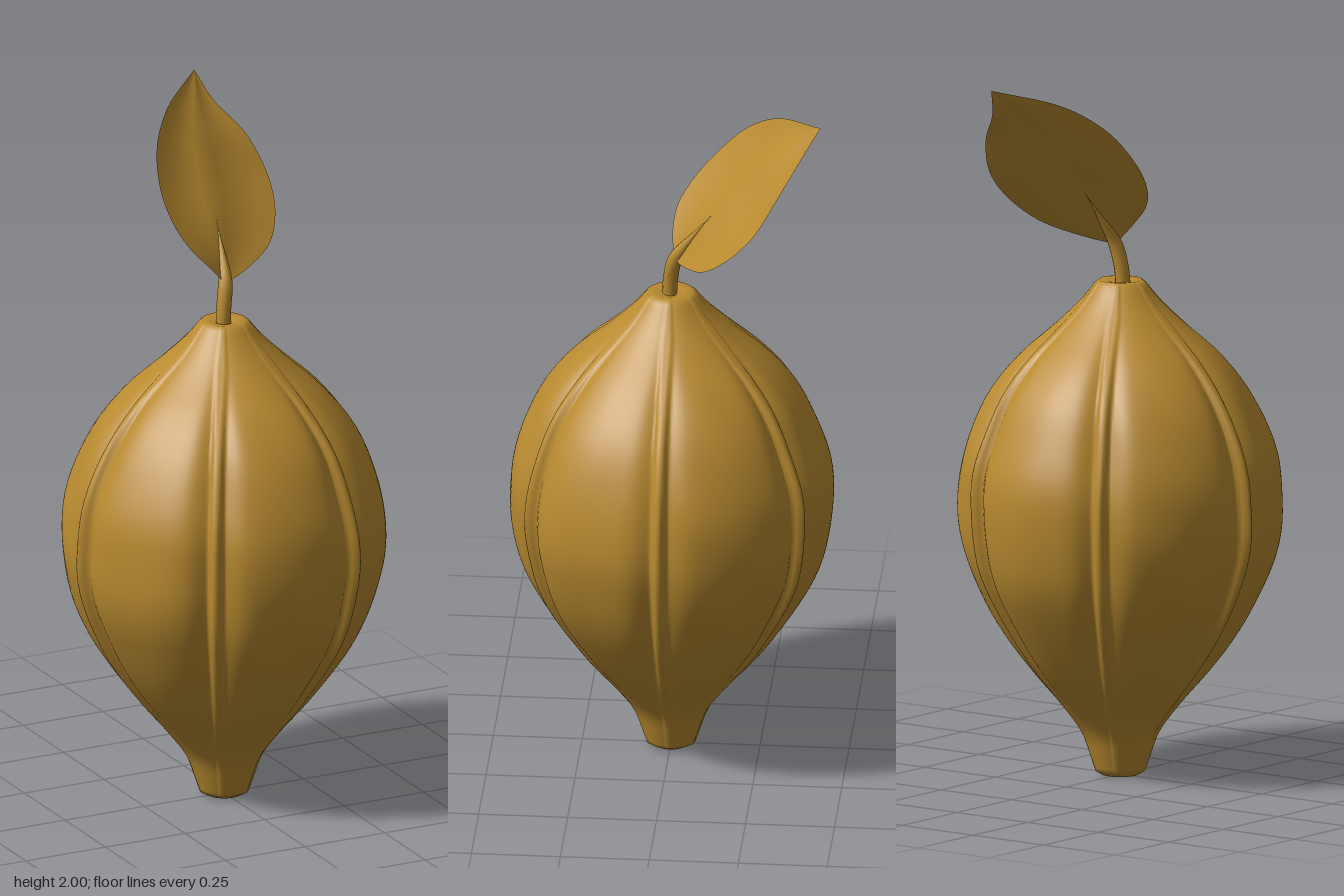
import * as THREE from 'three';
import { mergeVertices } from 'three/addons/utils/BufferGeometryUtils.js';

const V = (x, y, z) => new THREE.Vector3(x, y, z);

// weld seams so that the normals run smoothly over them
function smooth(geo) {
  geo.deleteAttribute('uv');
  geo.deleteAttribute('normal');
  const g = mergeVertices(geo, 1e-5);
  g.computeVertexNormals();
  return g;
}

// radius and height of the pod from bottom tip to top rim
const profile = new THREE.CatmullRomCurve3([
  [0.07, 0.018], [0.084, 0.06], [0.11, 0.13], [0.168, 0.21], [0.245, 0.3], [0.318, 0.4],
  [0.378, 0.5], [0.422, 0.6], [0.446, 0.7], [0.452, 0.79], [0.443, 0.89], [0.412, 0.99],
  [0.358, 1.1], [0.278, 1.2], [0.178, 1.29], [0.112, 1.355], [0.072, 1.405],
].map(([r, y]) => V(r, y, 0)));

// pod radius factor at angle a: plump lobes, creases, and a raised rib in each crease
function relief(a, y, r) {
  const step = Math.PI / 3;
  const d = Math.PI / 6 - Math.abs(a - Math.round(a / step) * step);
  const full = THREE.MathUtils.smoothstep(r, 0.06, 0.3);
  const sideRib = Math.abs(Math.sin(a)) > 0.85;
  const crease = (sideRib ? 0.06 : 0.075) * full * Math.exp(-((d / 0.13) ** 2));
  const width = Math.min(0.12, 0.017 / r);
  const rib = (0.03 + 0.04 * full) * Math.exp(-((d / width) ** 4));
  const bumps = 0.009 * full * Math.sin(5 * a + 9 * y) * Math.sin(13 * y + 2 * Math.sin(3 * a));
  return 1.005 - crease + rib + bumps;
}

export function createModel() {
  const ochre = new THREE.MeshStandardMaterial({ color: 0xb88a30 });
  ochre.name = 'ochre';
  ochre.side = THREE.DoubleSide;
  const model = new THREE.Group();
  model.name = 'pod';
  const add = (name, geo) => {
    const mesh = new THREE.Mesh(geo, ochre);
    mesh.name = name;
    model.add(mesh);
  };

  // ribbed pod body: a lathe shaped by the relief
  const outline = [
    new THREE.Vector2(0, 0.005), new THREE.Vector2(0.05, 0.006),
    ...profile.getPoints(56).map((p) => new THREE.Vector2(p.x, p.y)),
    new THREE.Vector2(0.06, 1.415), new THREE.Vector2(0.035, 1.412), new THREE.Vector2(0, 1.4),
  ];
  const body = new THREE.LatheGeometry(outline, 360);
  const pos = body.attributes.position;
  for (let i = 0; i < pos.count; i++) {
    const x = pos.getX(i), y = pos.getY(i), z = pos.getZ(i);
    const r = Math.hypot(x, z);
    if (r < 1e-6) continue;
    const k = relief(Math.atan2(x, z), y, r);
    pos.setXYZ(i, x * k, y, z * k);
  }
  add('ribbedBody', smooth(body));

  // stem, tapering into the leaf
  const stemPath = new THREE.CatmullRomCurve3([
    V(-0.005, 1.4, 0.005), V(-0.002, 1.45, 0.002), V(0.01, 1.52, -0.012),
    V(0.02, 1.58, -0.05), V(0.035, 1.67, -0.115),
  ]);
  const stem = new THREE.TubeGeometry(stemPath, 24, 0.021, 12);
  const sp = stem.attributes.position;
  for (let i = 0; i < sp.count; i++) {
    const t = Math.floor(i / 13) / 24;
    const c = stemPath.getPointAt(t);
    const thin = 1 - 0.95 * THREE.MathUtils.smoothstep(t, 0.3, 1);
    const p = V().fromBufferAttribute(sp, i).sub(c).multiplyScalar(thin).add(c);
    sp.setXYZ(i, p.x, p.y, p.z);
  }
  add('stem', smooth(stem));

  // leaf blade, spanned from its left and right edges through the midrib
  const middle = new THREE.CatmullRomCurve3([
    V(0.01, 1.52, -0.012), V(0.02, 1.58, -0.05), V(0.035, 1.67, -0.115),
    V(0.05, 1.77, -0.2), V(0.075, 1.88, -0.3), V(0.125, 2.0, -0.43),
  ]);
  const rightEdge = new THREE.CatmullRomCurve3([
    V(0.01, 1.515, -0.01), V(0.1, 1.535, -0.05), V(0.2, 1.575, -0.11), V(0.255, 1.645, -0.185),
    V(0.265, 1.725, -0.255), V(0.23, 1.83, -0.32), V(0.16, 1.92, -0.38), V(0.125, 2.0, -0.43),
  ]);
  const leftEdge = new THREE.CatmullRomCurve3([
    V(0.01, 1.515, -0.01), V(-0.045, 1.575, 0), V(-0.1, 1.635, -0.01), V(-0.132, 1.7, -0.05),
    V(-0.14, 1.78, -0.115), V(-0.11, 1.875, -0.2), V(-0.03, 1.95, -0.295), V(0.125, 2.0, -0.43),
  ]);
  const blade = new THREE.PlaneGeometry(1, 1, 12, 32);
  const bp = blade.attributes.position;
  for (let i = 0; i < bp.count; i++) {
    const s = bp.getX(i) * 2, t = bp.getY(i) + 0.5;
    const p = middle.getPointAt(t);
    p.lerp((s < 0 ? leftEdge : rightEdge).getPointAt(t), Math.abs(s));
    // slight cupping between midrib and edge
    const cup = 0.012 * Math.sin(Math.PI * Math.abs(s)) * Math.sin(Math.PI * t);
    bp.setXYZ(i, p.x, p.y - cup * 0.6, p.z - cup * 0.8);
  }
  add('leafBlade', smooth(blade));

  return model;
}
